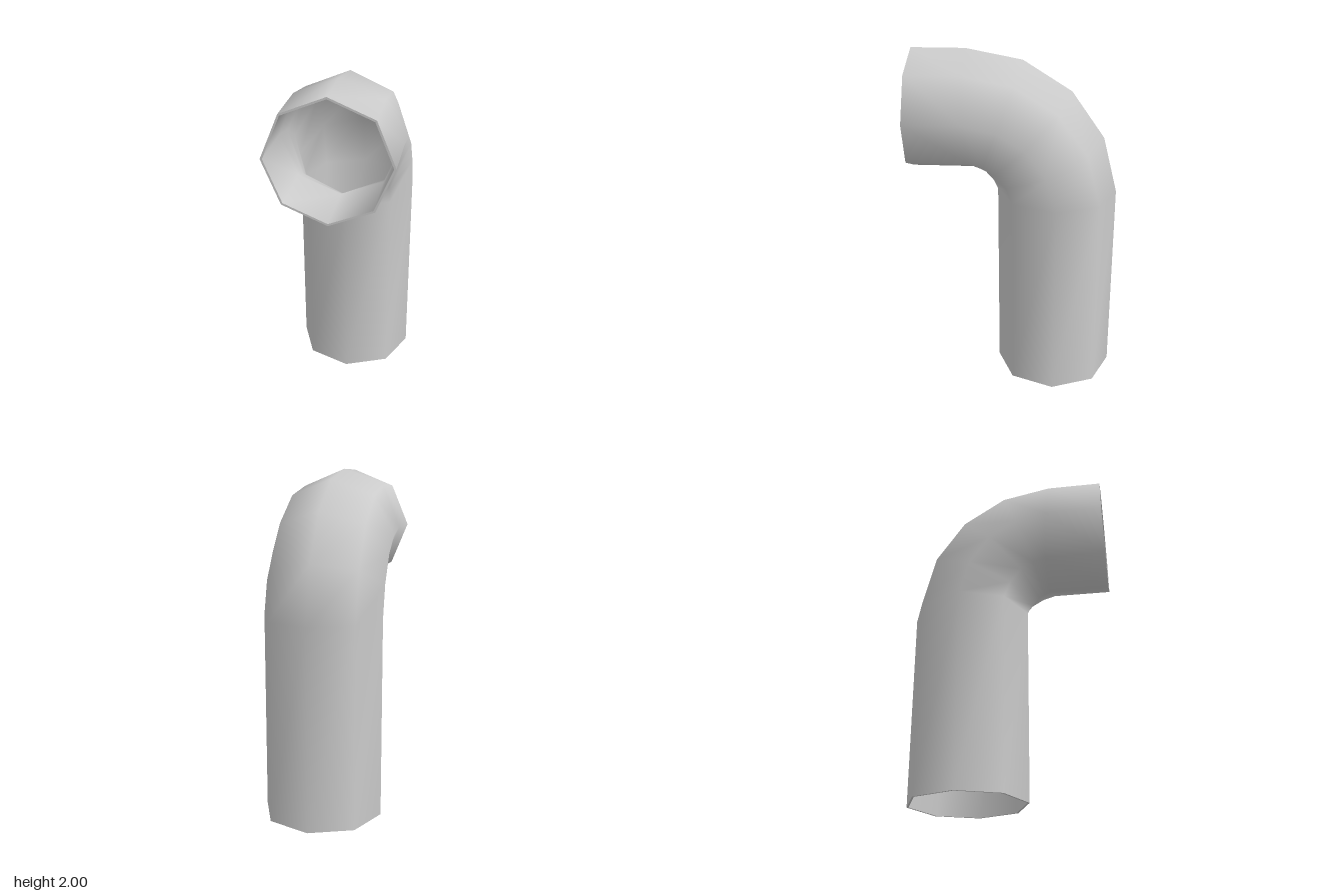
import * as THREE from 'three';

const SIDES = 8;
const WALL = 0.012;

// Stations along the pipe: [z, y] on the outside of the bend, [z, y] on the inside
const STATIONS = [
  [-0.6, 0, 0.1, 0],
  [-0.6, 1.165, 0.1, 1.165],
  [-0.516, 1.494, 0.127, 1.22],
  [-0.325, 1.764, 0.17, 1.268],
  [-0.045, 1.939, 0.205, 1.286],
  [0.278, 2.0, 0.238, 1.302],
  [0.585, 2.0, 0.6, 1.302],
];

// Octagonal cross-section with a corner on the bend's outer side
function ring([zo, yo, zi, yi], radius) {
  const scale = radius / 0.35 / 2;
  return Array.from({ length: SIDES }, (_, j) => {
    const a = (j / SIDES) * Math.PI * 2;
    const k = Math.cos(a) * scale;
    return [radius * Math.sin(a), (yo + yi) / 2 + (yo - yi) * k, (zo + zi) / 2 + (zo - zi) * k];
  });
}

// Smooth closed skin through successive rings
function skin(name, rings, material) {
  const index = [];
  for (let i = 0; i < rings.length - 1; i++) {
    for (let j = 0; j < SIDES; j++) {
      const a = i * SIDES + j;
      const b = i * SIDES + ((j + 1) % SIDES);
      index.push(a, a + SIDES, b, b, a + SIDES, b + SIDES);
    }
  }
  const geometry = new THREE.BufferGeometry();
  geometry.setAttribute('position', new THREE.Float32BufferAttribute(rings.flat(2), 3));
  geometry.setIndex(index);
  geometry.computeVertexNormals();
  const mesh = new THREE.Mesh(geometry, material);
  mesh.name = name;
  return mesh;
}

export function createModel() {
  const group = new THREE.Group();
  group.name = 'elbowPipe';
  const material = new THREE.MeshStandardMaterial({ color: 0xcccccc });

  const outer = STATIONS.map((s) => ring(s, 0.35));
  const inner = STATIONS.map((s) => ring(s, 0.35 - WALL));
  const last = STATIONS.length - 1;

  group.add(
    skin('outerWall', outer, material),
    skin('innerWall', [...inner].reverse(), material),
    // Flat rims joining the two walls at the open ends
    skin('bottomRim', [inner[0], outer[0]], material),
    skin('mouthRim', [outer[last], inner[last]], material),
  );
  return group;
}
